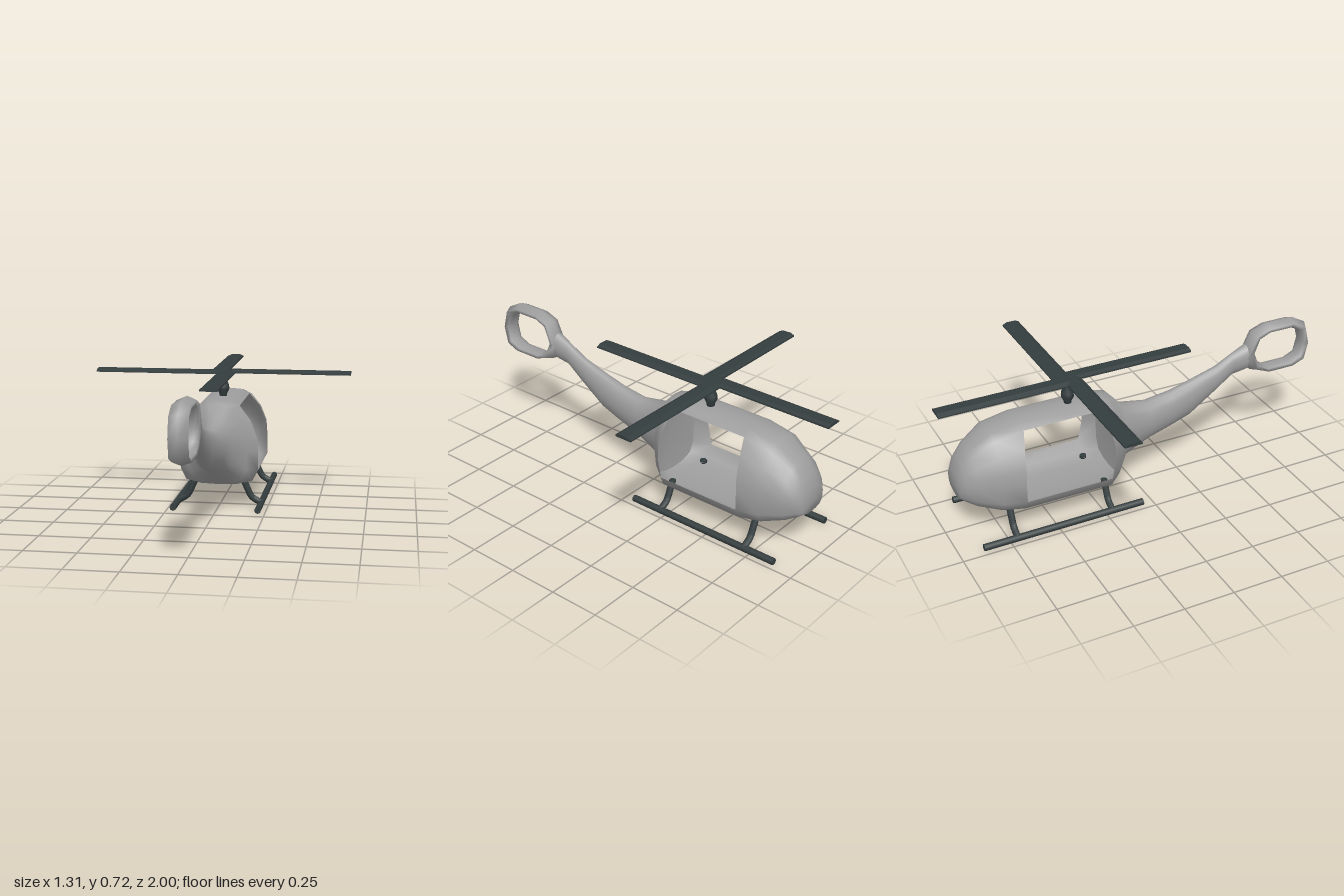
import * as THREE from 'three';

// Skins closed sections; each ring is a list of [x, y, z]. skip(i, j) leaves a panel open.
function loft(rings, { loop = false, noseTip = null, skip = () => false } = {}) {
  const n = rings[0].length, pos = rings.flat(2), idx = [];
  const last = loop ? rings.length : rings.length - 1;
  for (let i = 0; i < last; i++) {
    for (let j = 0; j < n; j++) {
      if (skip(i, j)) continue;
      const i2 = (i + 1) % rings.length, j2 = (j + 1) % n;
      const a = i * n + j, b = i2 * n + j, c = i * n + j2, d = i2 * n + j2;
      idx.push(a, b, c, b, d, c);
    }
  }
  if (noseTip) {
    const t = pos.length / 3;
    pos.push(...noseTip);
    for (let j = 0; j < n; j++) idx.push(t, j, (j + 1) % n);
  }
  const g = new THREE.BufferGeometry();
  g.setAttribute('position', new THREE.Float32BufferAttribute(pos, 3));
  g.setIndex(idx);
  g.computeVertexNormals();
  return g;
}

// Half cabin section, top to bottom: [x / half width, height fraction]
const CABIN = [[0, 1], [0.3, 0.99], [0.52, 0.935], [0.8, 0.77], [0.97, 0.57],
  [1, 0.4], [1, 0.172], [0.85, 0.046], [0.45, 0.008], [0, 0]];

// Full section; round blends the cabin shape into an ellipse
function section(z, w, top, bottom, round, dz = []) {
  const half = CABIN.map(([cx, cy], k) => {
    const a = k * Math.PI / 9;
    const x = THREE.MathUtils.lerp(cx, Math.sin(a), round) * w;
    const y = THREE.MathUtils.lerp(cy, (1 + Math.cos(a)) / 2, round);
    return [x, bottom + y * (top - bottom), z + (dz[k] || 0)];
  });
  return [...half, ...half.slice(1, -1).reverse().map(([x, y, zz]) => [-x, y, zz])];
}

export function createModel() {
  const model = new THREE.Group();
  model.name = 'helicopter';
  const grey = new THREE.MeshStandardMaterial({ color: 0x9e9e9e, side: THREE.DoubleSide });
  grey.name = 'hull grey';
  const dark = new THREE.MeshStandardMaterial({ color: 0x343d3e });
  dark.name = 'dark slate';
  const add = (name, geometry, material, parent = model) => {
    const m = new THREE.Mesh(geometry, material);
    m.name = name;
    parent.add(m);
    return m;
  };

  // Hull from nose to tail boom, with a door opening on each side
  const hull = [
    section(-0.935, 0.085, 0.335, 0.205, 0.5),
    section(-0.91, 0.115, 0.395, 0.19, 0.4),
    section(-0.865, 0.145, 0.45, 0.165, 0.3),
    section(-0.76, 0.187, 0.525, 0.132, 0.1),
    section(-0.65, 0.2, 0.55, 0.118, 0, [0.04, 0.04, 0.035, 0.015, 0.005]),
    section(-0.19, 0.2, 0.55, 0.115, 0, [-0.01, -0.01, -0.015, -0.01, 0, 0, -0.02, -0.01]),
    section(-0.135, 0.15, 0.54, 0.13, 0.2),
    section(-0.07, 0.088, 0.468, 0.185, 0.7),
    section(0.07, 0.066, 0.445, 0.235, 1),
    section(0.2, 0.056, 0.465, 0.272, 1),
    section(0.31, 0.047, 0.495, 0.308, 1),
    section(0.46, 0.036, 0.54, 0.41, 1),
    section(0.55, 0.031, 0.588, 0.475, 1),
    section(0.63, 0.042, 0.625, 0.488, 1),
  ];
  const isDoor = (i, j) => i === 4 && ((j >= 2 && j <= 5) || (j >= 12 && j <= 15));
  add('hull', loft(hull, { noseTip: [0, 0.27, -0.943], skip: isDoor }), grey);

  // Cabin rear wall
  add('cabinRearWall', loft([hull[6]], { noseTip: [0, 0.33, -0.115] }), grey);

  // Tail ring: [outer z, outer y, inner z, inner y] around the loop
  const hoop = [
    [0.66, 0.69, 0.70, 0.645], [0.745, 0.718, 0.75, 0.67], [0.895, 0.718, 0.88, 0.67],
    [0.975, 0.675, 0.93, 0.645], [1.0, 0.57, 0.95, 0.575], [0.975, 0.47, 0.935, 0.505],
    [0.905, 0.445, 0.88, 0.478], [0.755, 0.445, 0.75, 0.478], [0.66, 0.475, 0.7, 0.51],
    [0.59, 0.55, 0.675, 0.57],
  ];
  const hoopSection = [[0, 0], [0.4, 1], [0.8, 0.85], [1, 0.35], [1, -0.35], [0.8, -0.85], [0.4, -1]];
  add('tailRing', loft(hoop.map(([oz, oy, iz, iy]) => hoopSection.map(([t, s]) =>
    [s * 0.044, oy + (iy - oy) * t, oz + (iz - oz) * t])), { loop: true }), grey);

  // Main rotor: mast and four offset blades
  const rotor = new THREE.Group();
  rotor.name = 'mainRotor';
  rotor.position.set(0, 0, -0.347);
  model.add(rotor);
  const mast = [[0, 0.53], [0.018, 0.53], [0.02, 0.56], [0.032, 0.585], [0.03, 0.605],
    [0.017, 0.635], [0.015, 0.675], [0, 0.675]].map(([r, y]) => new THREE.Vector2(r, y));
  add('rotorMast', new THREE.LatheGeometry(mast, 10), dark, rotor);

  const airfoil = new THREE.Shape([[-0.043, 0], [0.043, 0], [0.043, 0.006], [0.02, 0.016],
    [-0.025, 0.016], [-0.043, 0.008]].map(([x, y]) => new THREE.Vector2(x, y)));
  const blade = new THREE.ExtrudeGeometry(airfoil, { depth: 0.675, bevelEnabled: false });
  blade.translate(0.022, 0.668, -0.022);
  for (let i = 0; i < 4; i++) add('rotorBlade', blade, dark, rotor).rotation.y = i * Math.PI / 2;

  // Landing gear: one runner and two bent struts per side
  const runner = new THREE.CylinderGeometry(0.017, 0.017, 0.83, 8).rotateX(Math.PI / 2);
  for (const s of [1, -1]) {
    add('skidRunner', runner, dark).position.set(s * 0.215, 0.017, -0.47);
    for (const z of [-0.22, -0.715]) {
      const path = new THREE.CurvePath();
      const p = [[0.122, 0.14], [0.158, 0.06], [0.172, 0.042], [0.215, 0.018]]
        .map(([x, y]) => new THREE.Vector3(s * x, y, z));
      for (let i = 0; i < 3; i++) path.add(new THREE.LineCurve3(p[i], p[i + 1]));
      add('skidStrut', new THREE.TubeGeometry(path, 12, 0.017, 8), dark);
      // Strut end on the cabin floor
      add('strutCap', new THREE.CylinderGeometry(0.017, 0.017, 0.006, 8), dark)
        .position.set(s * 0.122, 0.14, z);
    }
  }
  return model;
}
